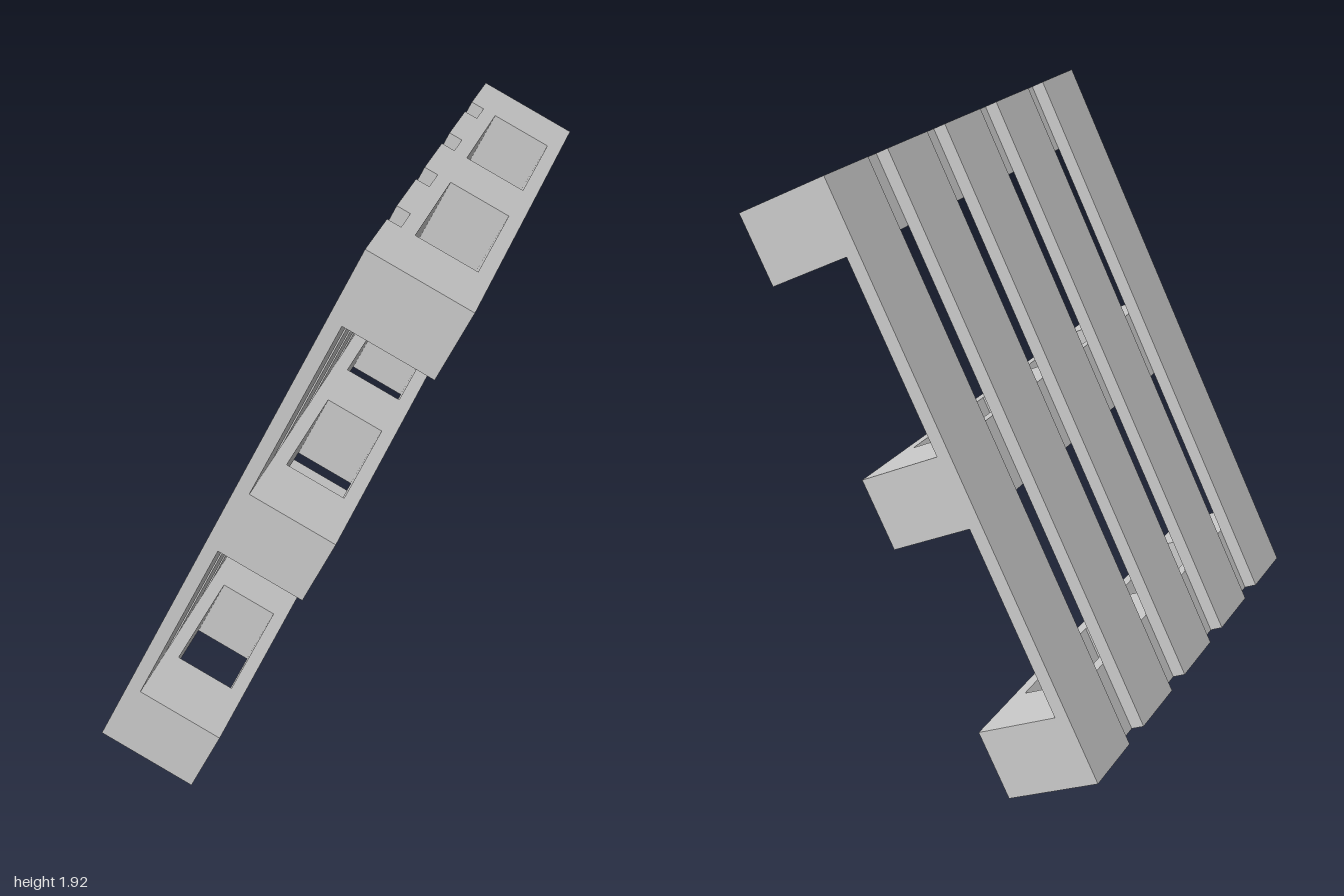
import * as THREE from 'three';

const WIDTH = 1.614, LENGTH = 1.97, DEPTH = 0.336; // overall pallet size
const BOARD = 0.045;  // board thickness
const BLOCK = 0.235;  // width of slats, blocks and bearers

const material = new THREE.MeshStandardMaterial({ color: 0xcccccc, flatShading: true });

function rectangle(path, x0, x1, y0, y1) {
  path.moveTo(x0, y0);
  path.lineTo(x1, y0);
  path.lineTo(x1, y1);
  path.lineTo(x0, y1);
  path.closePath();
  return path;
}

// Bearer: two boards joined by three blocks, leaving two openings
function bearerGeometry() {
  const h = (DEPTH - BOARD) / 2;
  const shape = rectangle(new THREE.Shape(), -WIDTH / 2, WIDTH / 2, -h, h);
  const inner = BLOCK / 2, outer = WIDTH / 2 - BLOCK;
  for (const [a, b] of [[-outer, -inner], [inner, outer]]) {
    shape.holes.push(rectangle(new THREE.Path(), a, b, -h + BOARD, h - BOARD));
  }
  const geometry = new THREE.ExtrudeGeometry(shape, { depth: BLOCK, bevelEnabled: false });
  geometry.translate(0, 0, -BLOCK / 2);
  return geometry.rotateX(-Math.PI / 2);
}

export function createModel() {
  const model = new THREE.Group();
  model.name = 'pallet';
  const frame = new THREE.Group();
  frame.name = 'palletFrame';
  model.add(frame);

  const add = (name, geometry, x, y, z) => {
    const mesh = new THREE.Mesh(geometry, material);
    mesh.name = name;
    mesh.position.set(x, y, z);
    frame.add(mesh);
  };

  // Five slats across the back
  const slat = new THREE.BoxGeometry(BLOCK, LENGTH, BOARD);
  for (let i = -2; i <= 2; i++) {
    add('slat', slat, i * (WIDTH - BLOCK) / 4, 0, -DEPTH / 2 + BOARD / 2);
  }

  // Three bearers in front of the slats
  const bearer = bearerGeometry();
  for (let i = -1; i <= 1; i++) {
    add('bearer', bearer, 0, i * (LENGTH - BLOCK) / 2, BOARD / 2);
  }

  // Tilt: bearers stay level, slats lean forward, openings face up
  const across = new THREE.Vector3(0.583, 0, -0.812).normalize();
  const along = new THREE.Vector3(0.359, 0.8966, 0.258);
  along.addScaledVector(across, -along.dot(across)).normalize();
  const outward = new THREE.Vector3().crossVectors(across, along);
  frame.quaternion.setFromRotationMatrix(new THREE.Matrix4().makeBasis(across, along, outward));
  frame.position.y = (LENGTH * along.y + DEPTH * Math.abs(outward.y)) / 2;

  return model;
}
